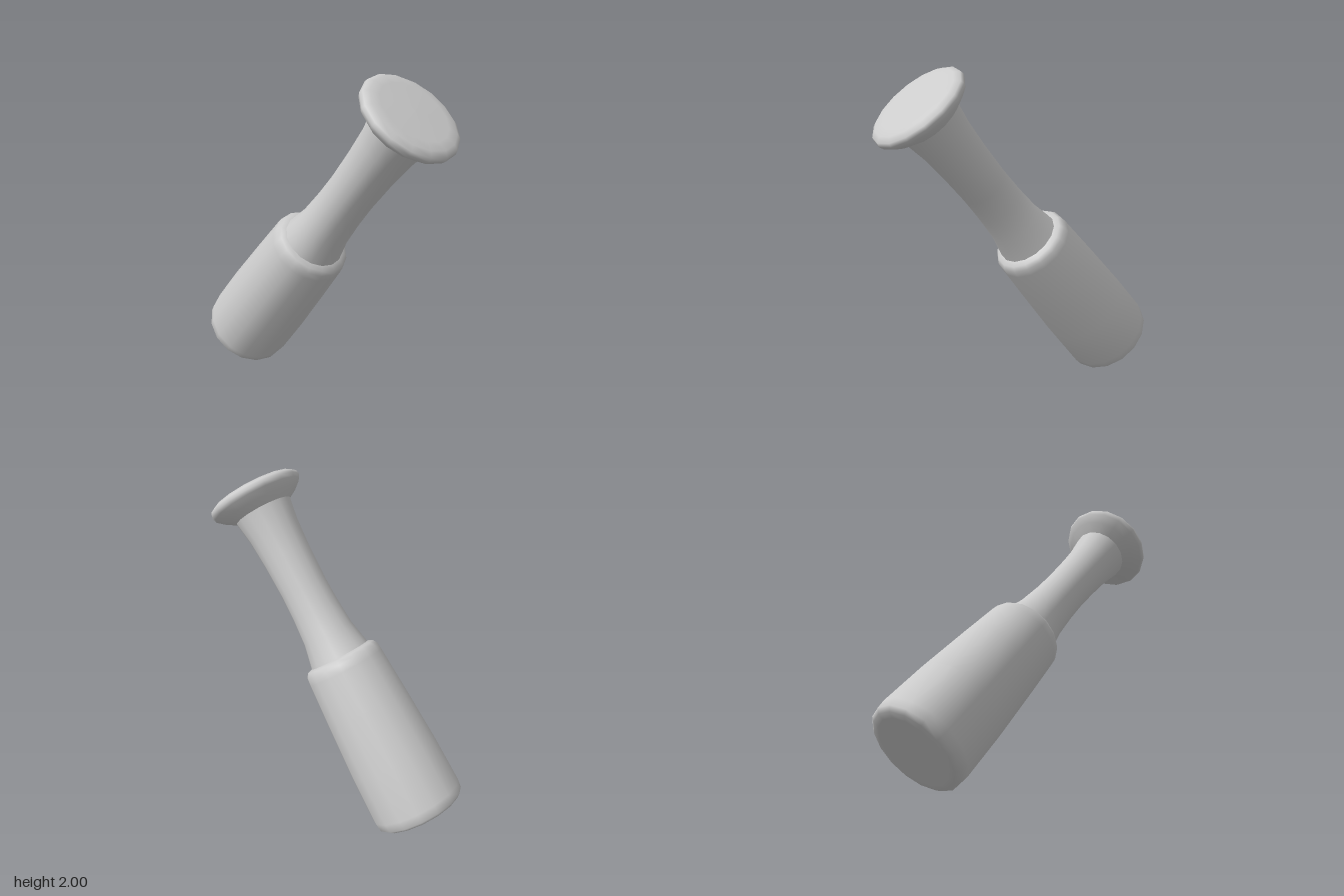
import * as THREE from 'three';

const SIDES = 16;

// Turned part from [radius, height] pairs, listed from bottom to top
function turned(name, profile) {
  const points = profile.map(([r, h]) => new THREE.Vector2(r, h));
  const mesh = new THREE.Mesh(
    new THREE.LatheGeometry(points, SIDES),
    new THREE.MeshStandardMaterial({ color: 0xcccccc })
  );
  mesh.name = name;
  return mesh;
}

export function createModel() {
  const model = new THREE.Group();
  model.name = 'turnedTool';

  const tilted = new THREE.Group();
  tilted.name = 'tiltedBody';

  // Thick tapering lower body with a rounded base and shoulder
  tilted.add(turned('lowerBody', [
    [0, -0.026], [0.22, -0.025], [0.255, -0.022], [0.28, -0.002], [0.286, 0.05],
    [0.278, 0.35], [0.258, 0.7], [0.241, 0.96], [0.236, 1.004], [0.218, 1.03], [0.187, 1.04],
  ]));

  // Slim waisted neck
  tilted.add(turned('neck', [
    [0.187, 1.04], [0.157, 1.187], [0.145, 1.35], [0.141, 1.5],
    [0.146, 1.7], [0.157, 1.87], [0.177, 2.0],
  ]));

  // Flared round head with a soft rim
  tilted.add(turned('head', [
    [0.177, 2.0], [0.235, 2.035], [0.279, 2.072], [0.288, 2.095],
    [0.282, 2.116], [0.252, 2.134], [0.2, 2.139], [0, 2.142],
  ]));

  tilted.rotation.z = -Math.atan2(1.33, 1.635);
  tilted.position.set(-0.67, 0.18, 0);
  model.add(tilted);
  return model;
}
